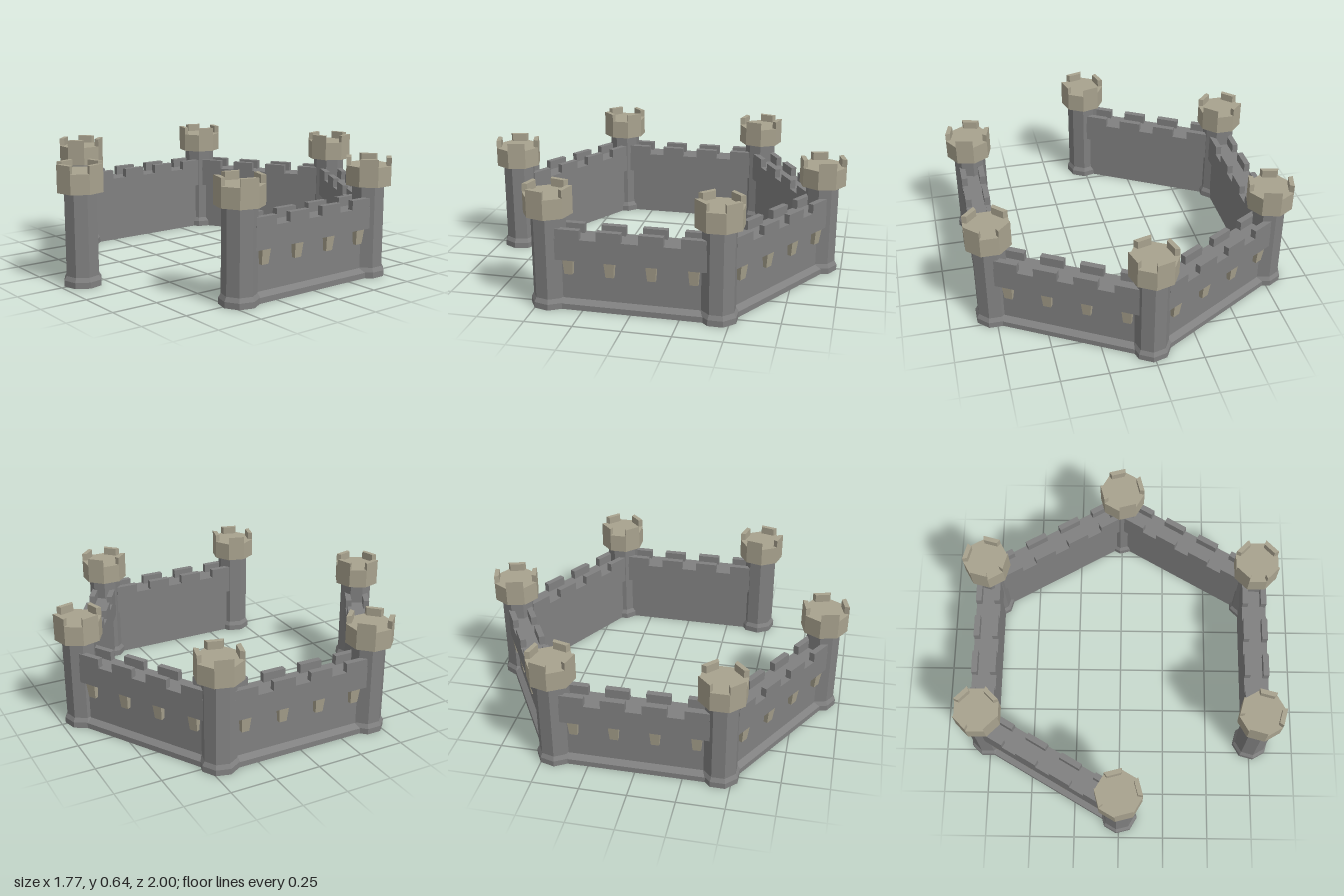
import * as THREE from 'three';

const R = 0.874;                       // hexagon corner radius
const APOTHEM = R * Math.cos(Math.PI / 6);
const RAD = Math.PI / 180;
const TURN = -7.5 * RAD;               // first corner of each octagonal tower
const PITCH = 0.214;                   // spacing of merlons and corbels
const WALL_LEN = 0.78;

const stone = new THREE.MeshStandardMaterial({ color: 0x808080 });
stone.name = 'grey stone';
const sand = new THREE.MeshStandardMaterial({ color: 0xa8a28e });
sand.name = 'sand stone';

function add(group, name, geometry, material) {
  const mesh = new THREE.Mesh(geometry, material);
  mesh.name = name;
  group.add(mesh);
  return mesh;
}

function faceted(geometry) {
  const flat = geometry.toNonIndexed();
  flat.computeVertexNormals();
  return flat;
}

// Eight-sided solid from a radius/height profile
function octagon(profile) {
  const points = profile.map(([r, y]) => new THREE.Vector2(r, y));
  return faceted(new THREE.LatheGeometry(points, 8, TURN, Math.PI * 2));
}

// One side of the octagonal rim, raised as a merlon
function rimBlock(start, inner, outer, height) {
  const at = (r, a) => new THREE.Vector2(r * Math.sin(a), -r * Math.cos(a));
  const end = start + Math.PI / 4;
  const shape = new THREE.Shape([at(inner, start), at(outer, start), at(outer, end), at(inner, end)]);
  return new THREE.ExtrudeGeometry(shape, { depth: height, bevelEnabled: false }).rotateX(-Math.PI / 2);
}

function makeTower() {
  const tower = new THREE.Group();
  tower.name = 'tower';
  add(tower, 'towerShaft', octagon([[0, 0], [0.103, 0], [0.103, 0.032], [0.09, 0.055], [0.09, 0.5], [0, 0.5]]), stone);
  add(tower, 'towerCap', octagon([[0, 0.495], [0.127, 0.495], [0.127, 0.6], [0, 0.6]]), sand);
  for (let i = 0; i < 4; i++) {
    const merlon = add(tower, 'towerMerlon', rimBlock(TURN + i * Math.PI / 2, 0.1, 0.127, 0.042), sand);
    merlon.position.y = 0.6;
  }
  return tower;
}

// Bracket that narrows towards its lower end
function corbelGeometry() {
  const geometry = new THREE.BoxGeometry(0.054, 0.078, 0.034);
  const p = geometry.attributes.position;
  for (let i = 0; i < p.count; i++) {
    if (p.getY(i) > 0) continue;
    p.setX(i, p.getX(i) * 0.78);
    if (p.getZ(i) > 0) p.setZ(i, 0.007);
  }
  return faceted(geometry);
}

// Wall along x, with its outer side facing +z
function makeWall() {
  const wall = new THREE.Group();
  wall.name = 'wall';
  const section = [
    [-0.05, 0], [0.065, 0], [0.065, 0.03], [0.035, 0.052], [0.035, 0.27], [0.0675, 0.27],
    [0.0675, 0.385], [-0.0675, 0.385], [-0.0675, 0.27], [-0.05, 0.27],
  ].map(([z, y]) => new THREE.Vector2(z, y));
  const body = new THREE.ExtrudeGeometry(new THREE.Shape(section), { depth: WALL_LEN, bevelEnabled: false });
  body.rotateY(-Math.PI / 2).translate(WALL_LEN / 2, 0, 0);
  add(wall, 'wallBody', body, stone);

  const corbel = corbelGeometry();
  for (let i = 0; i < 4; i++) {
    const x = (i - 1.5) * PITCH;
    // Merlons line both edges of the wall walk
    for (const side of [-1, 1]) {
      const merlon = add(wall, 'wallMerlon', new THREE.BoxGeometry(0.126, 0.05, 0.032), stone);
      merlon.position.set(x, 0.41, side * 0.0515);
    }
    add(wall, 'corbel', corbel, sand).position.set(x, 0.231, 0.05);
  }
  return wall;
}

export function createModel() {
  const model = new THREE.Group();
  model.name = 'castleRing';
  for (let i = 0; i < 6; i++) {
    const towerAngle = Math.PI - i * Math.PI / 3;
    const tower = makeTower();
    tower.position.set(R * Math.sin(towerAngle), 0, R * Math.cos(towerAngle));
    tower.rotation.y = towerAngle;
    model.add(tower);

    if (i === 2) continue;             // open side of the ring
    const wallAngle = towerAngle - Math.PI / 6;
    const wall = makeWall();
    wall.position.set(APOTHEM * Math.sin(wallAngle), 0, APOTHEM * Math.cos(wallAngle));
    wall.rotation.y = wallAngle;
    model.add(wall);
  }
  return model;
}
